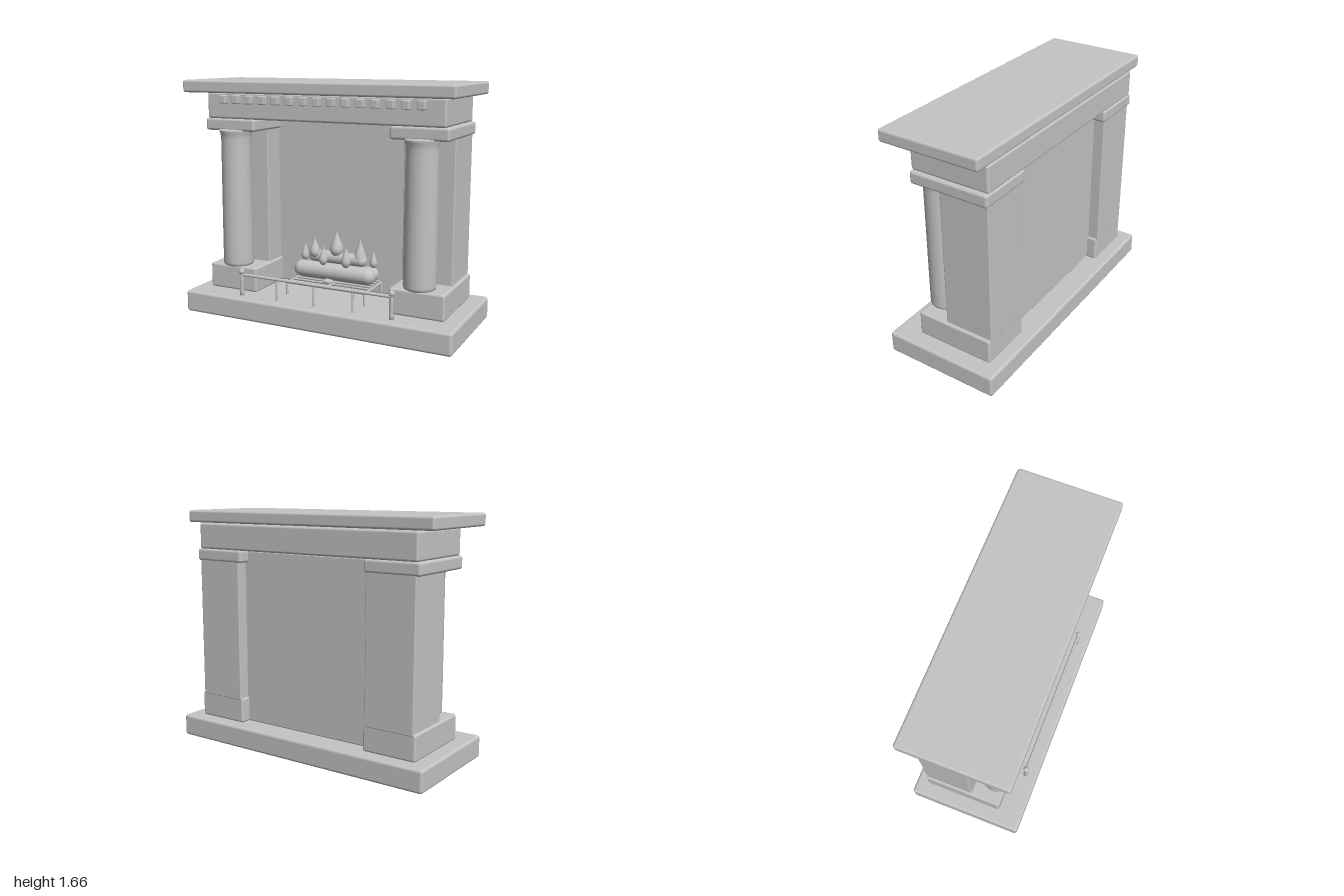
import * as THREE from 'three';
import { RoundedBoxGeometry } from 'three/addons/geometries/RoundedBoxGeometry.js';

const stone = new THREE.MeshStandardMaterial({ color: 0xc4c4c4 });
stone.name = 'pale stone';

function add(group, name, geometry, x = 0, y = 0, z = 0) {
  const mesh = new THREE.Mesh(geometry, stone);
  mesh.name = name;
  mesh.position.set(x, y, z);
  group.add(mesh);
  return mesh;
}

// Rounded block given by its extents on each axis
function block(group, name, [x0, x1], [y0, y1], [z0, z1], r = 0.016) {
  return add(group, name, new RoundedBoxGeometry(x1 - x0, y1 - y0, z1 - z0, 3, r),
    (x0 + x1) / 2, (y0 + y1) / 2, (z0 + z1) / 2);
}

// Straight round bar between two points
function bar(group, name, a, b, r) {
  const p = new THREE.Vector3(...a), q = new THREE.Vector3(...b);
  const mesh = add(group, name, new THREE.CylinderGeometry(r, r, p.distanceTo(q), 10));
  mesh.position.copy(p).add(q).multiplyScalar(0.5);
  mesh.quaternion.setFromUnitVectors(new THREE.Vector3(0, 1, 0), q.sub(p).normalize());
  return mesh;
}

function lathe(points, segments) {
  return new THREE.LatheGeometry(points.map(([r, y]) => new THREE.Vector2(r, y)), segments);
}

// Smooth teardrop of unit height and unit width
function flameGeometry() {
  const curve = new THREE.SplineCurve([[0, 0], [0.27, 0.06], [0.47, 0.22], [0.44, 0.42], [0.22, 0.7], [0.08, 0.88], [0, 1]]
    .map(([r, y]) => new THREE.Vector2(r, y)));
  const points = curve.getPoints(18);
  points.forEach((p) => { p.x = Math.max(p.x, 0); });
  return new THREE.LatheGeometry(points, 16);
}

function log(group, name, length, r, x, y, z, turn = 0) {
  const mesh = add(group, name, new THREE.CapsuleGeometry(r, length - 2 * r, 6, 18), x, y, z);
  mesh.rotation.set(0, turn, Math.PI / 2);
  return mesh;
}

export function createModel() {
  const model = new THREE.Group();
  model.name = 'fireplace';

  // Hearth, back wall, frieze and mantel shelf
  block(model, 'hearth', [-1, 1], [0, 0.155], [-0.415, 0.415], 0.02);
  block(model, 'backPanel', [-0.6, 0.6], [0.155, 1.385], [-0.25, -0.14], 0.01);
  block(model, 'frieze', [-0.895, 0.867], [1.39, 1.572], [-0.335, 0.23]);
  block(model, 'mantelShelf', [-1, 0.97], [1.575, 1.66], [-0.34, 0.375]);

  // Dentils under the shelf
  const dentils = new THREE.Group();
  dentils.name = 'dentils';
  model.add(dentils);
  for (let i = 0; i < 15; i++) {
    const x = -0.745 + i * 0.1045;
    block(dentils, 'dentil', [x - 0.025, x + 0.025], [1.498, 1.556], [0.222, 0.275], 0.007);
  }

  // Side piers: plinth, post, cap and round column
  const columnProfile = [[0, 0.33], [0.095, 0.33], [0.106, 0.338], [0.11, 0.355], [0.11, 0.5], [0.106, 1.2],
    [0.106, 1.255], [0.109, 1.28], [0.116, 1.3], [0.116, 1.315], [0, 1.32]];
  const piers = [
    { name: 'rightPier', plinth: [-0.9, -0.515], post: [-0.885, -0.53], cap: [-0.915, -0.515], column: -0.708 },
    { name: 'leftPier', plinth: [0.505, 0.89], post: [0.515, 0.87], cap: [0.49, 0.89], column: 0.692 },
  ];
  for (const p of piers) {
    const pier = new THREE.Group();
    pier.name = p.name;
    model.add(pier);
    block(pier, 'plinth', p.plinth, [0.153, 0.333], [-0.325, 0.24]);
    block(pier, 'post', p.post, [0.32, 1.32], [-0.33, 0.025], 0.008);
    block(pier, 'cap', p.cap, [1.305, 1.392], [-0.337, 0.23], 0.018);
    add(pier, 'column', lathe(columnProfile, 36), p.column, 0, 0.16);
  }

  // Fender rail with end posts and knobs
  const fender = new THREE.Group();
  fender.name = 'fender';
  model.add(fender);
  const fz = 0.328;
  bar(fender, 'fenderRail', [-0.575, 0.305, fz], [0.565, 0.305, fz], 0.01);
  for (const x of [-0.575, 0.565]) {
    add(fender, 'fenderPost', lathe([[0, 0.15], [0.016, 0.15], [0.016, 0.185], [0.011, 0.2], [0.011, 0.31], [0, 0.315]], 14), x, 0, fz);
    add(fender, 'fenderKnob', new THREE.SphereGeometry(0.021, 16, 12), x, 0.328, fz);
  }
  for (const x of [-0.293, -0.003, 0.288]) {
    bar(fender, 'fenderLeg', [x, 0.15, fz], [x, 0.305, fz], 0.008);
  }

  // Log grate: frame, long bars and legs
  const grate = new THREE.Group();
  grate.name = 'grate';
  model.add(grate);
  for (let i = 0; i < 7; i++) {
    const z = -0.125 + i * 0.05;
    bar(grate, 'grateBar', [-0.3, 0.245, z], [0.3, 0.245, z], 0.007);
  }
  for (const x of [-0.3, 0, 0.3]) {
    bar(grate, 'grateCrossBar', [x, 0.24, -0.13], [x, 0.24, 0.18], 0.008);
  }
  for (const x of [-0.3, 0.3]) {
    for (const z of [-0.12, 0.17]) bar(grate, 'grateLeg', [x, 0.15, z], [x, 0.25, z], 0.008);
  }

  // Stacked logs
  const logs = new THREE.Group();
  logs.name = 'logs';
  model.add(logs);
  log(logs, 'frontLog', 0.63, 0.06, -0.005, 0.315, 0.01);
  log(logs, 'backLog', 0.56, 0.052, 0.01, 0.3, -0.08, 0.08);
  log(logs, 'topLog', 0.45, 0.045, 0.005, 0.41, -0.03);
  const ember = add(logs, 'ember', new THREE.SphereGeometry(0.04, 16, 10), -0.03, 0.257, 0.06);
  ember.scale.set(1, 0.4, 0.8);

  // Flames: x, base height, top height, width, z
  const flames = new THREE.Group();
  flames.name = 'flames';
  model.add(flames);
  const flame = flameGeometry();
  for (const [x, y0, y1, w, z] of [
    [-0.27, 0.36, 0.49, 0.058, -0.05], [-0.165, 0.4, 0.55, 0.078, 0.0], [-0.075, 0.365, 0.51, 0.064, 0.045],
    [0, 0.42, 0.61, 0.1, -0.02], [0.103, 0.365, 0.525, 0.07, 0.045], [0.178, 0.365, 0.57, 0.09, -0.03],
    [0.267, 0.36, 0.485, 0.054, -0.06]]) {
    add(flames, 'flame', flame, x, y0, z).scale.set(w, y1 - y0, w);
  }

  return model;
}
